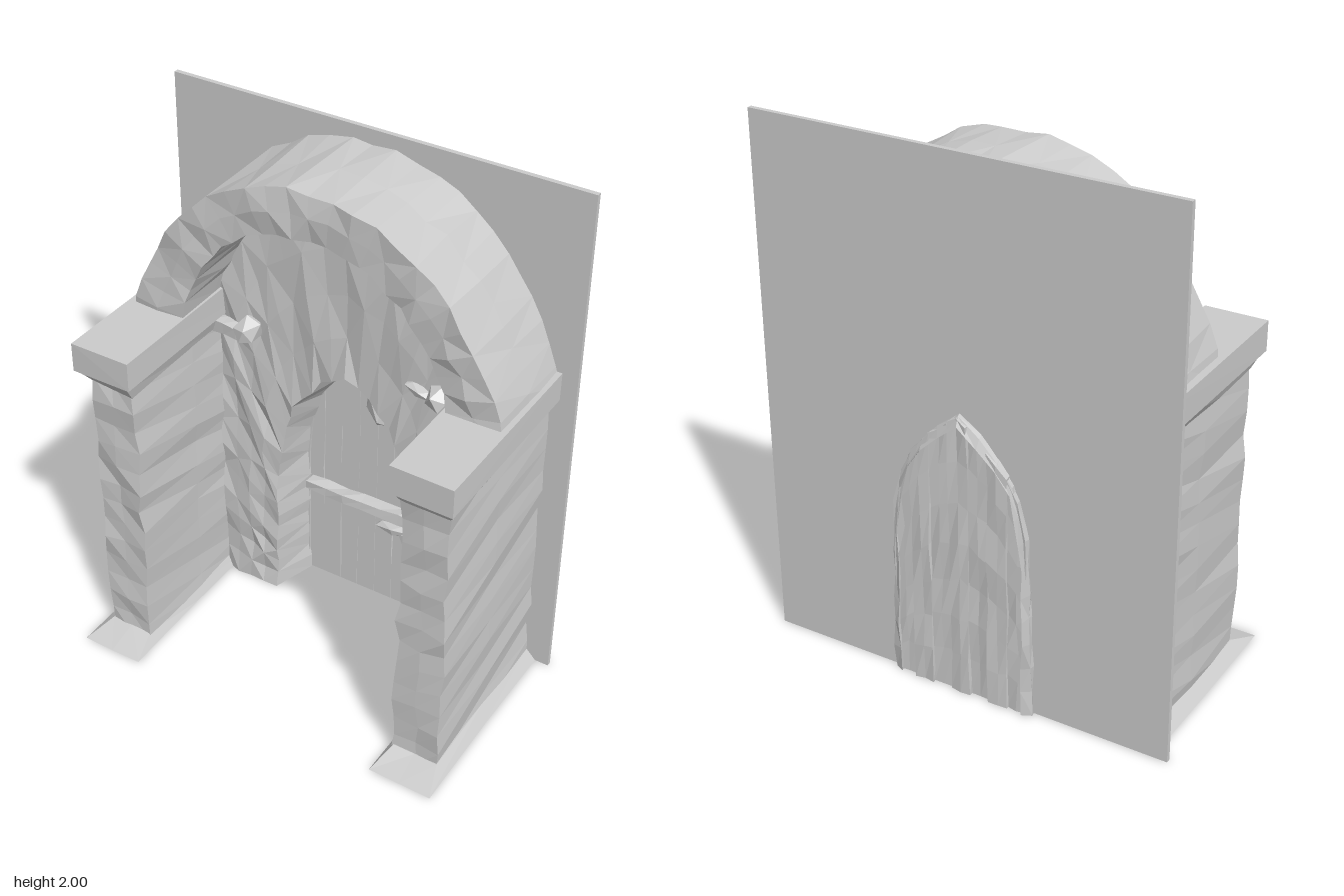
import * as THREE from 'three';

const mat = new THREE.MeshStandardMaterial({ color: 0xcccccc, flatShading: true, side: THREE.DoubleSide });
const BACK = -0.38, WALL = -0.21;

// Right halves of the contours, from the floor up to the apex
const DOOR = [[0.25, 0], [0.25, 0.6], [0.235, 0.74], [0.2, 0.86], [0.11, 0.98], [0, 1.06]];
const JAMB = [[0.295, 0], [0.285, 0.55], [0.26, 0.76], [0.21, 0.91], [0.1, 1.04], [0, 1.11]];
const RISE = [[0.53, 1.25], [0.51, 1.36], [0.45, 1.49], [0.36, 1.63], [0.22, 1.74], [0.1, 1.775], [0, 1.78]];
const NICHE = [[0.53, 0], ...RISE];
const CROWN = [[0.73, 1.25], [0.71, 1.36], [0.645, 1.5], [0.54, 1.68], [0.4, 1.82], [0.24, 1.91], [0.1, 1.945], [0, 1.945]];

// Evenly spaced points along a mirrored contour, right foot to left foot
function contour(half, n) {
  const left = half.slice(0, -1).reverse().map(([x, y]) => [-x, y]);
  return new THREE.Path([...half, ...left].map(([x, y]) => new THREE.Vector2(x, y))).getSpacedPoints(n);
}

// Repeatable noise from a position, so shared corners move together
function noise(v, k) {
  const q = (c) => Math.round(c * 500);
  const s = Math.sin(q(v.x) * 12.9898 + q(v.y) * 78.233 + q(v.z) * 37.719 + k * 51.3) * 43758.5453;
  return (s - Math.floor(s)) * 2 - 1;
}

// Chipped stone: push vertices about; the floor and back planes stay flat
function roughen(geo, ax, ay = ax, az = ax) {
  const p = geo.attributes.position, v = new THREE.Vector3();
  for (let i = 0; i < p.count; i++) {
    v.fromBufferAttribute(p, i);
    const floor = v.y < 0.01, back = Math.abs(v.z - BACK) < 0.01;
    p.setXYZ(i, v.x + noise(v, 1) * ax, v.y + (floor ? 0 : noise(v, 2) * ay), v.z + (back ? 0 : noise(v, 3) * az));
  }
  geo.computeVertexNormals();
  return geo;
}

// Solid band through a closed cycle of contour rings [points, z], with capped feet
function band(rings) {
  const n = rings[0][0].length, m = rings.length, pos = [], idx = [];
  for (const [pts, z] of rings) for (const p of pts) pos.push(p.x, p.y, z);
  for (let r = 0; r < m; r++) {
    const a = r * n, b = ((r + 1) % m) * n;
    for (let i = 0; i < n - 1; i++) {
      if ((i + r) % 2) idx.push(a + i, b + i, a + i + 1, a + i + 1, b + i, b + i + 1);
      else idx.push(a + i, b + i, b + i + 1, a + i, b + i + 1, a + i + 1);
    }
  }
  for (let r = 1; r < m - 1; r++) {
    idx.push(0, (r + 1) * n, r * n);
    idx.push(n - 1, r * n + n - 1, (r + 1) * n + n - 1);
  }
  const geo = new THREE.BufferGeometry();
  geo.setAttribute('position', new THREE.Float32BufferAttribute(pos, 3));
  geo.setIndex(idx);
  geo.computeVertexNormals();
  return geo;
}

// Block from y0 to y1 whose ends are [x0, x1, front z]
function taper(y0, y1, bottom, top, segs = [1, 1, 1]) {
  const geo = new THREE.BoxGeometry(1, 1, 1, ...segs), p = geo.attributes.position;
  const lerp = THREE.MathUtils.lerp;
  for (let i = 0; i < p.count; i++) {
    const t = p.getY(i) + 0.5;
    const [x0, x1, zf] = bottom.map((b, k) => lerp(b, top[k], t));
    p.setXYZ(i, lerp(x0, x1, p.getX(i) + 0.5), lerp(y0, y1, t), lerp(BACK, zf, p.getZ(i) + 0.5));
  }
  geo.computeVertexNormals();
  return geo;
}

// Height of a half contour at a given x
function heightAt(half, x) {
  x = Math.abs(x);
  for (let i = half.length - 1; i > 0; i--) {
    const [xa, ya] = half[i], [xb, yb] = half[i - 1];
    if (x <= xb) return ya + (yb - ya) * (x - xa) / (xb - xa || 1);
  }
  return half[1][1];
}

export function createModel() {
  const model = new THREE.Group();
  const add = (name, geo, parent = model) => {
    const mesh = new THREE.Mesh(geo, mat);
    mesh.name = name;
    parent.add(mesh);
    return mesh;
  };

  // Thin back panel, cut out around the doorway
  const panel = new THREE.Shape([[-0.8, 0], [-0.8, 2], [0.8, 2], [0.8, 0]].map((c) => new THREE.Vector2(...c)));
  contour(DOOR, 40).forEach((p) => panel.lineTo(p.x, p.y));
  add('backPanel', new THREE.ExtrudeGeometry(panel, { depth: 0.018, bevelEnabled: false }).translate(0, 0, -0.392));

  // Niche wall with a splayed, pointed doorway
  const N = 40;
  const door = contour(DOOR, N), jamb = contour(JAMB, N), niche = contour(NICHE, N);
  const between = (t) => jamb.map((p, i) => p.clone().lerp(niche[i], t));
  add('nicheWall', roughen(band([
    [door, BACK], [jamb, WALL], [between(0.25), WALL], [between(0.5), WALL],
    [between(0.75), WALL], [niche, WALL], [niche, BACK],
  ]), 0.006, 0.006, 0.011));

  // Round arch vault
  const inner = contour(RISE, 26), outer = contour(CROWN, 26);
  const middle = inner.map((p, i) => p.clone().lerp(outer[i], 0.5));
  add('arch', roughen(band([
    [inner, BACK], [inner, -0.17], [inner, 0.025], [middle, 0.03], [outer, 0.025], [outer, -0.17], [outer, BACK],
  ]), 0.007, 0.007, 0.009));

  // Side piers with flared feet, mouldings and capitals
  for (const side of [1, -1]) {
    const pier = new THREE.Group();
    pier.name = side > 0 ? 'leftPier' : 'rightPier';
    const flip = (geo) => {
      if (side > 0) return geo;
      geo.scale(-1, 1, 1);
      const ix = geo.index.array;
      for (let i = 0; i < ix.length; i += 3) [ix[i], ix[i + 1]] = [ix[i + 1], ix[i]];
      geo.computeVertexNormals();
      return geo;
    };
    const part = (name, geo, rough) => add(name, roughen(flip(geo), rough), pier);
    const shaft = [0.53, 0.705, 0.31];
    part('shaft', taper(0, 1.16, shaft, shaft, [2, 13, 2]), 0.009);
    part('foot', taper(0, 0.04, [0.505, 0.745, 0.43], shaft, [2, 1, 2]), 0.004);
    part('moulding', taper(1.14, 1.2, shaft, [0.515, 0.735, 0.355], [1, 1, 3]), 0.005);
    part('capital', taper(1.2, 1.31, [0.505, 0.74, 0.36], [0.505, 0.74, 0.36]), 0.002);
    model.add(pier);
  }

  // Plank door showing at the back, stepped in depth
  const planks = new THREE.Group();
  planks.name = 'door';
  model.add(planks);
  const count = 7, w = 0.53 / count;
  for (let i = 0; i < count; i++) {
    const depth = i % 2 ? 0.036 : 0.028;
    const geo = new THREE.BoxGeometry(w * 0.98, 1, depth, 2, 7, 1).translate((i - (count - 1) / 2) * w, 0.5, -0.383 - depth / 2);
    const p = geo.attributes.position;
    for (let k = 0; k < p.count; k++) p.setY(k, p.getY(k) * (heightAt(JAMB, p.getX(k)) - 0.02));
    add('plank', roughen(geo, 0.004, 0.01, 0.006), planks);
  }
  // Raised rim of the door on the back
  const rimIn = contour(DOOR, 24), rimOut = contour(JAMB.map(([x, y]) => [x * 0.96, y * 0.99]), 24);
  add('doorRim', roughen(band([[rimIn, -0.391], [rimOut, -0.391], [rimOut, -0.41], [rimIn, -0.422]]), 0.005), planks);

  // Cross bar, broken latch pieces and knocker on the door front
  const chip = (name, x, y, z, sx, sy, sz, rot = 0) => {
    const geo = new THREE.IcosahedronGeometry(1, 0).scale(sx, sy, sz).rotateZ(rot).translate(x, y, z);
    return add(name, roughen(geo, 0.006));
  };
  add('crossBar', roughen(new THREE.BoxGeometry(0.48, 0.04, 0.05, 6, 1, 1).translate(0, 0.445, -0.36), 0.006));
  chip('latch', 0.13, 0.37, -0.37, 0.09, 0.025, 0.03, 0.1);
  chip('latch', 0.19, 0.35, -0.37, 0.05, 0.03, 0.03, -0.5);
  chip('knocker', 0.04, 0.9, -0.37, 0.035, 0.09, 0.03, 0.25);

  // Wall brackets, one carrying a hanging lantern
  for (const s of [1, -1]) {
    chip('bracket', s * 0.39, 1.18, WALL + 0.02, 0.05, 0.06, 0.06, s * 0.4);
    add('bracketArm', roughen(new THREE.BoxGeometry(0.16, 0.045, 0.05, 3, 1, 1).translate(s * 0.46, 1.165, WALL + 0.015), 0.008));
  }
  chip('bracketTip', 0.3, 1.17, WALL, 0.07, 0.02, 0.03, -0.3);
  add('lanternChain', new THREE.CylinderGeometry(0.008, 0.008, 0.2, 5).translate(0.4, 1.04, WALL + 0.03));
  add('lantern', roughen(new THREE.LatheGeometry([[0, -0.11], [0.03, -0.05], [0.045, 0.03], [0.02, 0.07], [0, 0.09]]
    .map((c) => new THREE.Vector2(...c)), 6).translate(0.4, 0.87, WALL + 0.03), 0.003));

  return model;
}
